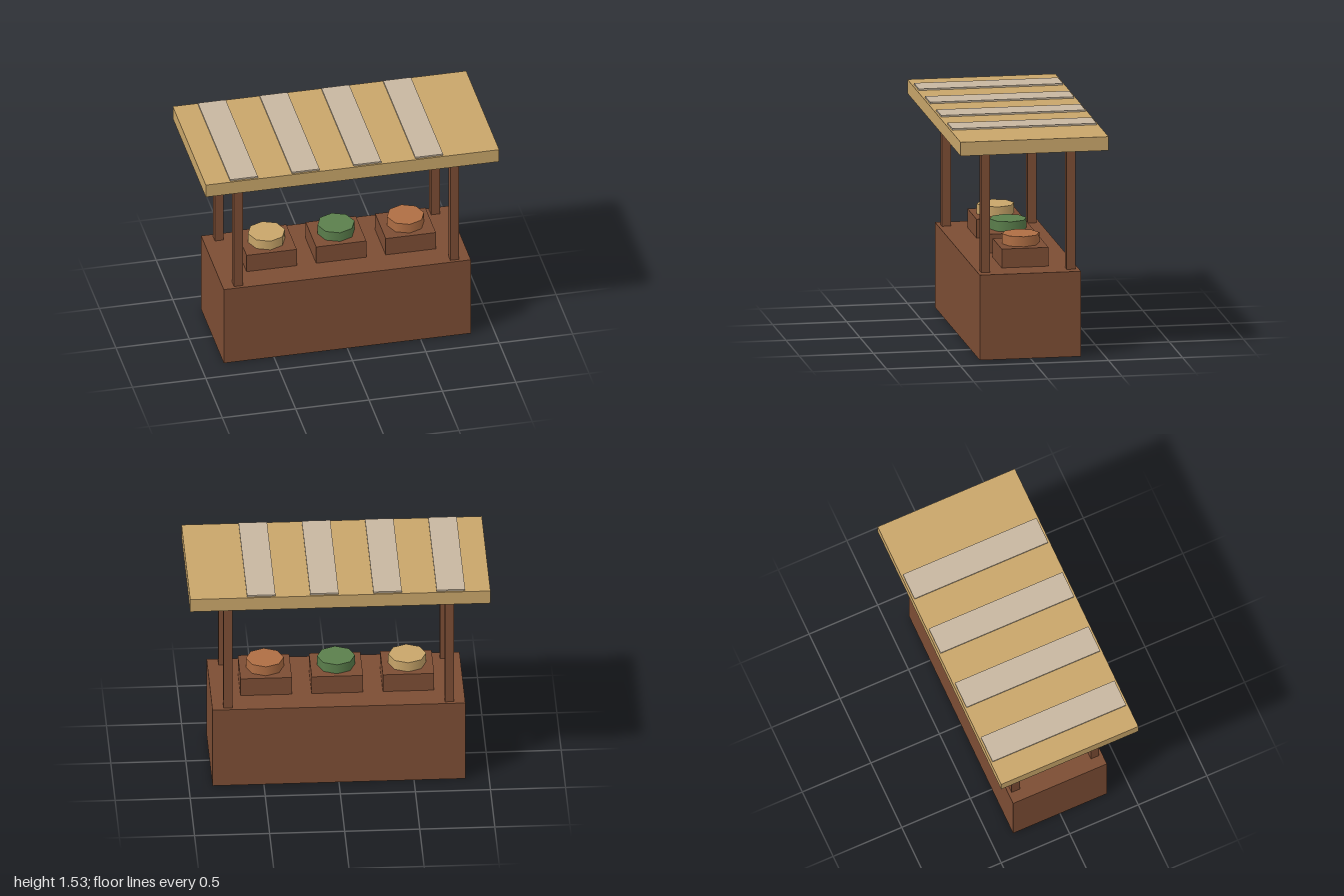
import * as THREE from 'three';

const material = (name, color) => {
  const m = new THREE.MeshStandardMaterial({ color });
  m.name = name;
  return m;
};

export function createModel() {
  const wood = material('brown wood', 0x7c4d34);
  const straw = material('straw', 0xc9a66a);
  const cloth = material('pale cloth', 0xc8b7a0);
  const green = material('green goods', 0x5b7f4c);
  const orange = material('orange goods', 0xaf6e44);

  const stall = new THREE.Group();
  stall.name = 'marketStall';

  const add = (name, geometry, mat, x, y, z) => {
    const mesh = new THREE.Mesh(geometry, mat);
    mesh.name = name;
    mesh.position.set(x, y, z);
    stall.add(mesh);
  };
  // Box given by its bottom and top heights
  const addBox = (name, mat, x, z, width, depth, bottom, top) =>
    add(name, new THREE.BoxGeometry(width, top - bottom, depth), mat, x, (bottom + top) / 2, z);

  // Solid counter
  addBox('counter', wood, 0, 0, 1.684, 0.684, 0, 0.579);

  // Four corner posts
  for (const x of [-0.737, 0.737])
    for (const z of [-0.289, 0.289])
      addBox(`${z > 0 ? 'front' : 'back'}${x > 0 ? 'Left' : 'Right'}Post`, wood, x, z, 0.06, 0.06, 0.579, 1.429);

  // Crates, each topped with a round of goods
  [['right', -0.474, straw], ['middle', 0, green], ['left', 0.474, orange]].forEach(([side, x, goods]) => {
    addBox(`${side}Crate`, wood, x, 0, 0.342, 0.316, 0.579, 0.707);
    add(`${side}Goods`, new THREE.CylinderGeometry(0.126, 0.126, 0.068, 8), goods, x, 0.741, 0);
  });

  // Flat roof with four cloth strips
  addBox('roof', straw, 0, 0, 2, 1, 1.429, 1.523);
  for (let i = 0; i < 4; i++)
    addBox(`roofStrip${i + 1}`, cloth, -0.737 + i * 0.421, 0, 0.189, 0.974, 1.523, 1.534);

  return stall;
}
